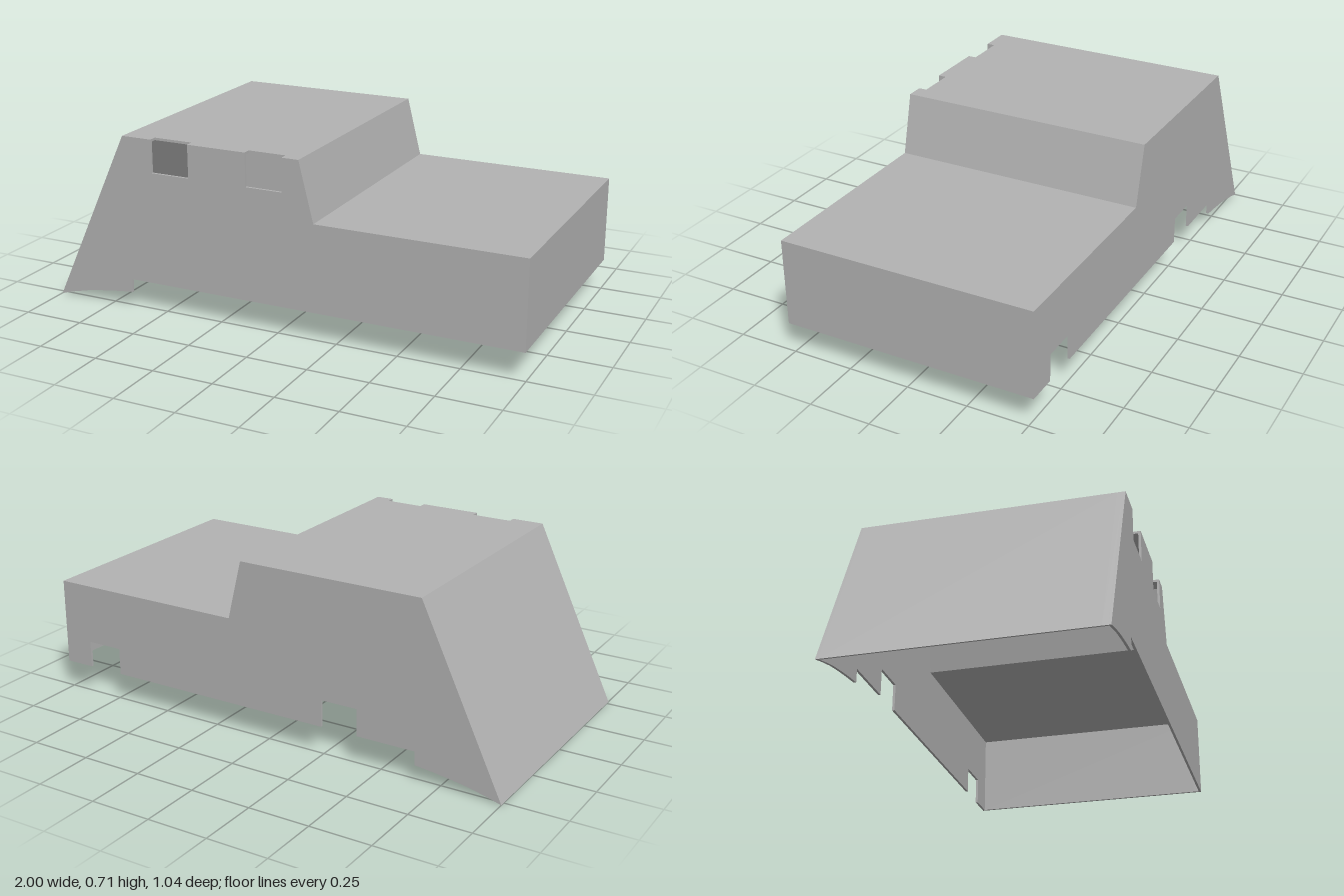
import * as THREE from 'three';

const HALF = 0.52;   // half width of the body
const T = 0.01;      // wall thickness
const SLOT = 0.487;  // inner edge of the window slots in the roof

export function createModel() {
  const group = new THREE.Group();
  const grey = new THREE.MeshStandardMaterial({ color: 0xb2b2b2 });

  // Extrude an outline in x and y between two depths
  const plate = (name, points, z0, z1) => {
    const shape = new THREE.Shape(points.map(([x, y]) => new THREE.Vector2(x, y)));
    const geo = new THREE.ExtrudeGeometry(shape, { depth: z1 - z0, bevelEnabled: false });
    geo.translate(0, 0, z0);
    const mesh = new THREE.Mesh(geo, grey);
    mesh.name = name;
    group.add(mesh);
  };

  // Shared outline corners
  const skirt = [[-1, 0], [-0.94, 0.017], [-0.87, 0.034], [-0.8, 0.046], [-0.73, 0.056], [-0.65, 0.065], [-0.65, 0.12]];
  const deck = [[1, 0.12], [1, 0.475], [0.165, 0.475], [0.105, 0.715]];
  const slopeTop = [-0.665, 0.715];
  const windows = [[0.035, -0.12], [-0.37, -0.535]];
  const notches = [[-0.405, -0.25], [0.722, 0.876]];

  // Front wall, with window openings cut down from the roof line
  const openings = windows.flatMap(([a, b]) => [[a, 0.715], [a, 0.58], [b, 0.58], [b, 0.715]]);
  plate('frontWall', [...skirt, ...deck, ...openings, slopeTop], HALF - T, HALF);

  // Back wall, with notches cut up from the lower edge
  const cuts = notches.flatMap(([a, b]) => [[a, 0.12], [a, 0.23], [b, 0.23], [b, 0.12]]);
  plate('backWall', [...skirt, ...cuts, ...deck, slopeTop], -HALF, -HALF + T);

  // Bent shell: sloped end, roof, step, deck and upright end
  const slopeInner = [[-0.659, 0.705], [-0.989, 0.002]];
  const deckInner = [[0.097, 0.705], [0.157, 0.465], [0.99, 0.465], [0.99, 0.12]];
  plate('bodyShell', [[-1, 0], ...slopeInner.slice().reverse(), ...deckInner, ...deck, slopeTop], -HALF + T, SLOT);

  // Shell edge beside the front wall, interrupted at the windows
  const [[w1, w2], [w3, w4]] = windows;
  plate('slopedShellEdge', [[-1, 0], ...slopeInner.slice().reverse(), [w4, 0.705], [w4, 0.715], slopeTop], SLOT, HALF - T);
  plate('roofShellEdge', [[w3, 0.705], [w2, 0.705], [w2, 0.715], [w3, 0.715]], SLOT, HALF - T);
  plate('deckShellEdge', [[w1, 0.705], ...deckInner, ...deck, [w1, 0.715]], SLOT, HALF - T);

  return group;
}
